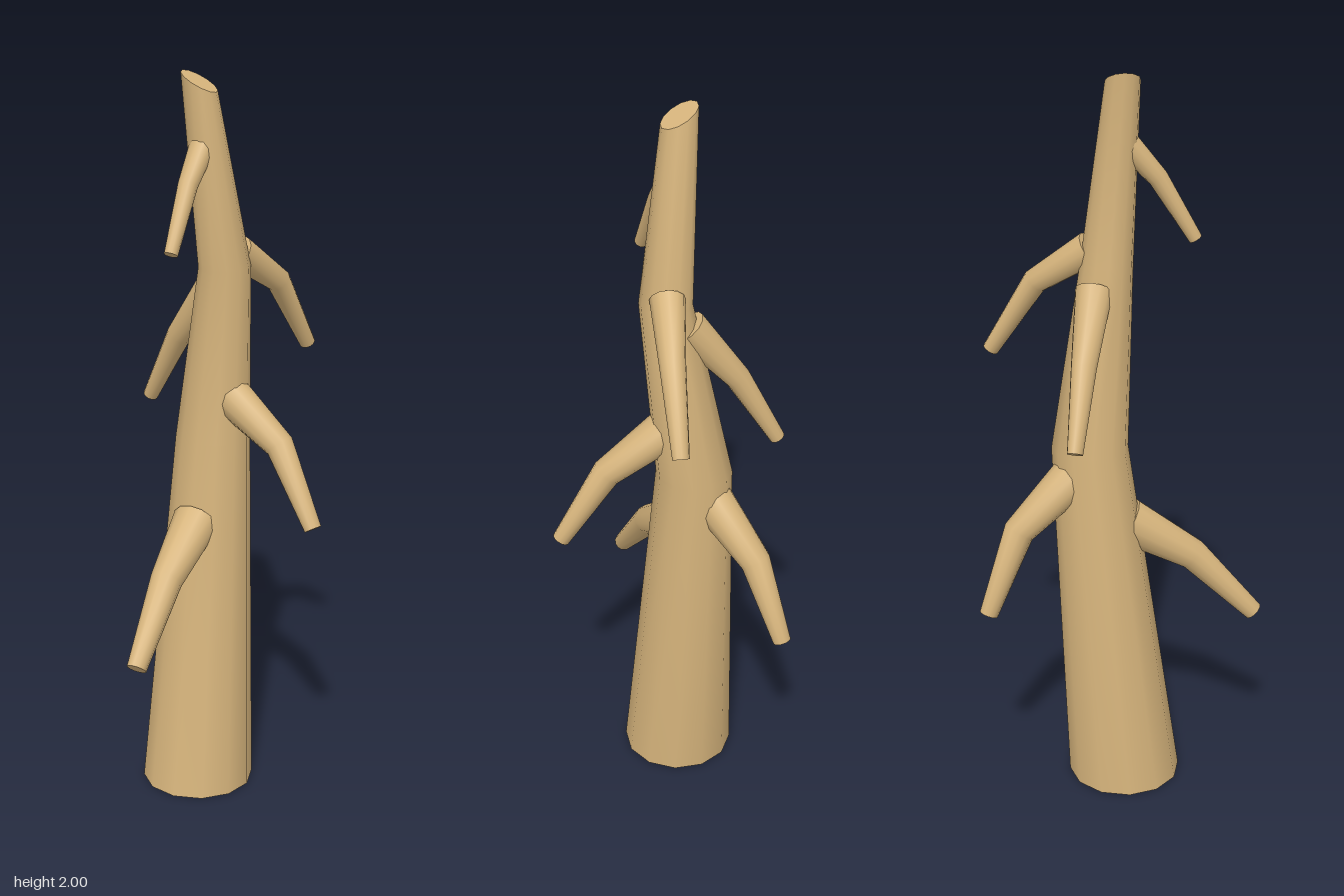
import * as THREE from 'three';

const SIDES = 12;
const V = (a) => new THREE.Vector3(a[0], a[1], a[2]);

// Smooth tapered limb through rings { p: centre, r: radius, n: normal, stretch }, with flat caps.
function limb(rings, ref) {
  const pos = [], index = [];
  const loops = rings.map(({ p, r, n, stretch = 1 }) => {
    const e1 = n.clone().cross(ref).normalize();
    const e2 = e1.clone().cross(n).normalize();
    return Array.from({ length: SIDES }, (_, i) => {
      const a = (i / SIDES) * Math.PI * 2;
      return p.clone()
        .addScaledVector(e1, Math.cos(a) * r * stretch)
        .addScaledVector(e2, Math.sin(a) * r);
    });
  });
  loops.forEach((loop) => loop.forEach((v) => pos.push(v.x, v.y, v.z)));
  for (let k = 0; k < rings.length - 1; k++) {
    for (let i = 0; i < SIDES; i++) {
      const a = k * SIDES + i, b = k * SIDES + (i + 1) % SIDES;
      index.push(a, a + SIDES, b, b, a + SIDES, b + SIDES);
    }
  }
  // Caps have their own vertices so their rims stay sharp
  [0, rings.length - 1].forEach((k) => {
    const base = pos.length / 3;
    [rings[k].p, ...loops[k]].forEach((v) => pos.push(v.x, v.y, v.z));
    for (let i = 0; i < SIDES; i++) {
      const a = base + 1 + i, b = base + 1 + (i + 1) % SIDES;
      if (k === 0) index.push(base, a, b);
      else index.push(base, b, a);
    }
  });
  const g = new THREE.BufferGeometry();
  g.setAttribute('position', new THREE.Float32BufferAttribute(pos, 3));
  g.setIndex(index);
  g.computeVertexNormals();
  return g;
}

// Drooping branch: root, elbow and tip, with the elbow ring on the mitre.
function branch(points, radii) {
  const [a, b, c] = points.map(V);
  const d1 = b.clone().sub(a).normalize(), d2 = c.clone().sub(b).normalize();
  const ref = new THREE.Vector3(c.x - a.x, 0, c.z - a.z).normalize()
    .cross(new THREE.Vector3(0, 1, 0));
  const normals = [d1, d1.clone().add(d2).normalize(), d2];
  return limb([a, b, c].map((p, i) => ({ p, r: radii[i], n: normals[i] })), ref);
}

export function createModel() {
  const group = new THREE.Group();
  const wood = new THREE.MeshStandardMaterial({ color: 0xd6b47c });
  const add = (name, geometry) => {
    const mesh = new THREE.Mesh(geometry, wood);
    mesh.name = name;
    group.add(mesh);
  };

  // Crooked trunk with a slanted cut at the top
  const up = new THREE.Vector3(0, 1, 0);
  add('trunk', limb([
    { p: V([-0.07, 0, 0.013]), r: 0.156, n: up },
    { p: V([-0.065, 1.0, -0.08]), r: 0.103, n: up },
    { p: V([-0.005, 1.49, -0.028]), r: 0.07, n: up },
    { p: V([-0.06, 1.973, 0.008]), r: 0.045, n: V([0.48, 0.877, 0]), stretch: 1.22 },
  ], new THREE.Vector3(0, 0, 1)));

  // Branches: root, elbow and tip centres, then radii
  const branches = {
    lowerFrontBranch: [[[-0.07, 0.78, 0.02], [-0.07, 0.67, 0.2], [-0.07, 0.483, 0.375]], [0.064, 0.044, 0.027]],
    lowerBackBranch: [[[-0.09, 0.935, -0.12], [-0.15, 0.797, -0.278], [-0.19, 0.575, -0.365]], [0.06, 0.042, 0.025]],
    leftBranch: [[[-0.01, 1.14, -0.052], [0.165, 1.02, -0.015], [0.283, 0.816, 0.03]], [0.058, 0.04, 0.024]],
    rightBranch: [[[-0.05, 1.43, -0.065], [-0.18, 1.267, -0.103], [-0.288, 1.072, -0.136]], [0.05, 0.034, 0.021]],
    upperBackBranch: [[[0.012, 1.525, -0.07], [0.07, 1.422, -0.212], [0.108, 1.223, -0.333]], [0.046, 0.034, 0.022]],
    upperFrontBranch: [[[-0.046, 1.81, 0.02], [-0.048, 1.722, 0.1], [-0.048, 1.56, 0.198]], [0.034, 0.026, 0.018]],
  };
  for (const [name, [points, radii]] of Object.entries(branches)) {
    add(name, branch(points, radii));
  }
  return group;
}
